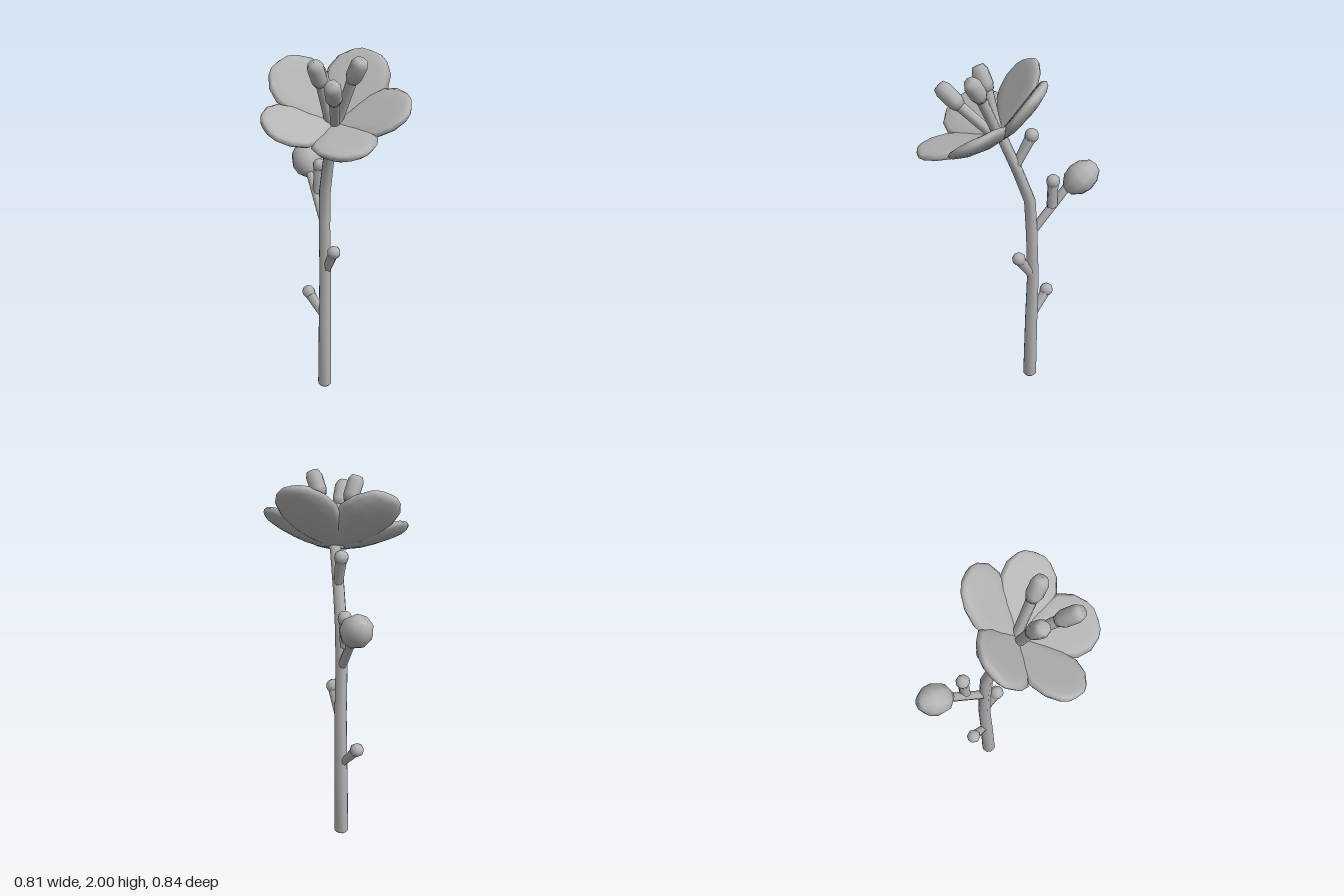
import * as THREE from 'three';

const V = (x, y, z) => new THREE.Vector3(x, y, z);
const grey = new THREE.MeshStandardMaterial({ color: 0xb4b4b4 });
grey.name = 'plain grey';

function part(name, geometry) {
  const mesh = new THREE.Mesh(geometry, grey);
  mesh.name = name;
  return mesh;
}

// Closed smooth skin over a list of equal-sized rings, with a point at each end
function skin(rings, start, end) {
  const n = rings[0].length;
  const points = [...rings.flat(), start, end];
  const s = points.length - 2, e = s + 1, last = (rings.length - 1) * n;
  const index = [];
  for (let j = 0; j < n; j++) {
    const k = (j + 1) % n;
    for (let r = 0; r < last; r += n) {
      index.push(r + j, r + k, r + n + j, r + k, r + n + k, r + n + j);
    }
    index.push(s, k, j, e, last + j, last + k);
  }
  const g = new THREE.BufferGeometry().setFromPoints(points);
  g.setIndex(index);
  g.computeVertexNormals();
  return g;
}

// Tapered rod between two points
function rod(name, a, b, ra, rb, sides = 8) {
  const d = b.clone().sub(a);
  const mesh = part(name, new THREE.CylinderGeometry(rb, ra, d.length(), sides));
  mesh.position.copy(a).add(b).multiplyScalar(0.5);
  mesh.quaternion.setFromUnitVectors(V(0, 1, 0), d.normalize());
  return mesh;
}

// Lathed body standing on a, pointing along a to b
function turned(name, a, b, profile, sides = 8) {
  const mesh = part(name, new THREE.LatheGeometry(profile.map(p => new THREE.Vector2(...p)), sides));
  mesh.position.copy(a);
  mesh.quaternion.setFromUnitVectors(V(0, 1, 0), b.clone().sub(a).normalize());
  return mesh;
}

function stem() {
  // x, y, z, radius
  const path = [
    [-0.141, 0, -0.125, 0.03], [-0.141, 0.015, -0.125, 0.041], [-0.139, 0.4, -0.129, 0.038],
    [-0.138, 0.72, -0.135, 0.035], [-0.137, 1.0, -0.124, 0.034], [-0.129, 1.21, -0.113, 0.034],
    [-0.088, 1.4, -0.058, 0.032], [-0.03, 1.63, 0.015, 0.031],
  ];
  const rings = path.map(([x, y, z, r]) => Array.from({ length: 8 }, (_, i) => {
    const a = i / 8 * Math.PI * 2;
    return V(x + r * Math.sin(a), y, z + r * Math.cos(a));
  }));
  return part('stem', skin(rings, V(-0.141, 0, -0.125), V(-0.03, 1.63, 0.015)));
}

// Plump spoon-shaped petal lying along +x
function petalGeometry() {
  // distance from centre, half width, half thickness
  const sections = [
    [0.01, 0.025, 0.015], [0.09, 0.09, 0.025], [0.18, 0.148, 0.031], [0.27, 0.172, 0.032],
    [0.35, 0.152, 0.031], [0.41, 0.1, 0.027], [0.432, 0.062, 0.018],
  ];
  const spine = u => 0.25 * (u - 0.22) ** 2 - 0.005;
  const rings = sections.map(([u, w, h]) => Array.from({ length: 12 }, (_, i) => {
    const a = i / 12 * Math.PI * 2;
    const z = w * Math.sin(a), c = Math.cos(a);
    return V(u, spine(u) + 0.7 * z * z + h * Math.sign(c) * Math.abs(c) ** 0.8, z);
  }));
  return skin(rings, V(-0.01, spine(0), 0), V(0.44, spine(0.44), 0));
}

function blossom() {
  const flower = new THREE.Group();
  flower.name = 'blossom';
  const up = V(0.166, 0.83, 0.53).normalize();
  const front = V(0.344, -0.555, 0.757);
  front.addScaledVector(up, -front.dot(up)).normalize();
  const side = front.clone().cross(up);
  flower.quaternion.setFromRotationMatrix(new THREE.Matrix4().makeBasis(front, up, side));
  flower.position.set(-0.025, 1.615, 0.015);
  const geometry = petalGeometry();
  // heading in degrees, upward pitch, size
  const petals = [
    [8, 0.42, 1], [79, 0.42, 0.99], [147, 0.38, 1.04], [221, 0.42, 1.03], [294, 0.43, 1],
  ];
  for (const [heading, pitch, size] of petals) {
    const petal = part('petal', geometry);
    petal.rotation.set(0, THREE.MathUtils.degToRad(heading), pitch);
    petal.scale.setScalar(size);
    flower.add(petal);
  }
  return flower;
}

// Stalk with a thick blunt head
function stamen(base, neck, tip) {
  const g = new THREE.Group();
  g.name = 'stamen';
  const l = neck.distanceTo(tip);
  g.add(rod('stamenStalk', base, neck, 0.026, 0.029));
  g.add(turned('stamenHead', neck, tip, [
    [0, -0.01], [0.033, -0.008], [0.045, 0.025], [0.046, l * 0.75], [0.033, l * 0.97], [0, l],
  ]));
  return g;
}

// Short twig widening into a small knob
function twig(base, tip, baseRadius = 0.025) {
  const g = new THREE.Group();
  g.name = 'smallBud';
  g.add(rod('twigStalk', base, tip, baseRadius, 0.031, 6));
  const knob = part('budKnob', new THREE.SphereGeometry(0.039, 8, 6));
  knob.position.copy(tip);
  knob.quaternion.setFromUnitVectors(V(0, 1, 0), tip.clone().sub(base).normalize());
  g.add(knob);
  return g;
}

export function createModel() {
  const model = new THREE.Group();
  model.name = 'floweringStem';
  model.add(stem(), blossom());

  // Stamens
  model.add(stamen(V(-0.045, 1.61, 0.03), V(-0.07, 1.85, 0.105), V(-0.085, 1.968, 0.168)));
  model.add(stamen(V(-0.02, 1.61, 0.03), V(0.042, 1.79, 0.215), V(0.066, 1.895, 0.318)));
  model.add(stamen(V(-0.02, 1.61, 0.015), V(0.088, 1.872, 0.073), V(0.15, 1.985, 0.105)));

  // Small buds on the stem
  model.add(twig(V(-0.15, 0.44, -0.135), V(-0.255, 0.56, -0.175), 0.02));
  model.add(twig(V(-0.13, 0.73, -0.135), V(-0.065, 0.862, -0.078)));
  model.add(twig(V(-0.08, 1.44, -0.05), V(-0.13, 1.605, -0.117)));

  // Side branch with a small bud and a large bud
  model.add(rod('sideBranch', V(-0.14, 1.01, -0.125), V(-0.285, 1.27, -0.28), 0.024, 0.024));
  model.add(twig(V(-0.205, 1.16, -0.213), V(-0.2, 1.318, -0.218), 0.031));
  model.add(turned('largeBud', V(-0.258, 1.238, -0.27), V(-0.382, 1.373, -0.4), [
    [0, 0], [0.036, 0.012], [0.074, 0.055], [0.087, 0.108], [0.076, 0.165], [0.04, 0.212], [0, 0.222],
  ], 9));
  return model;
}
